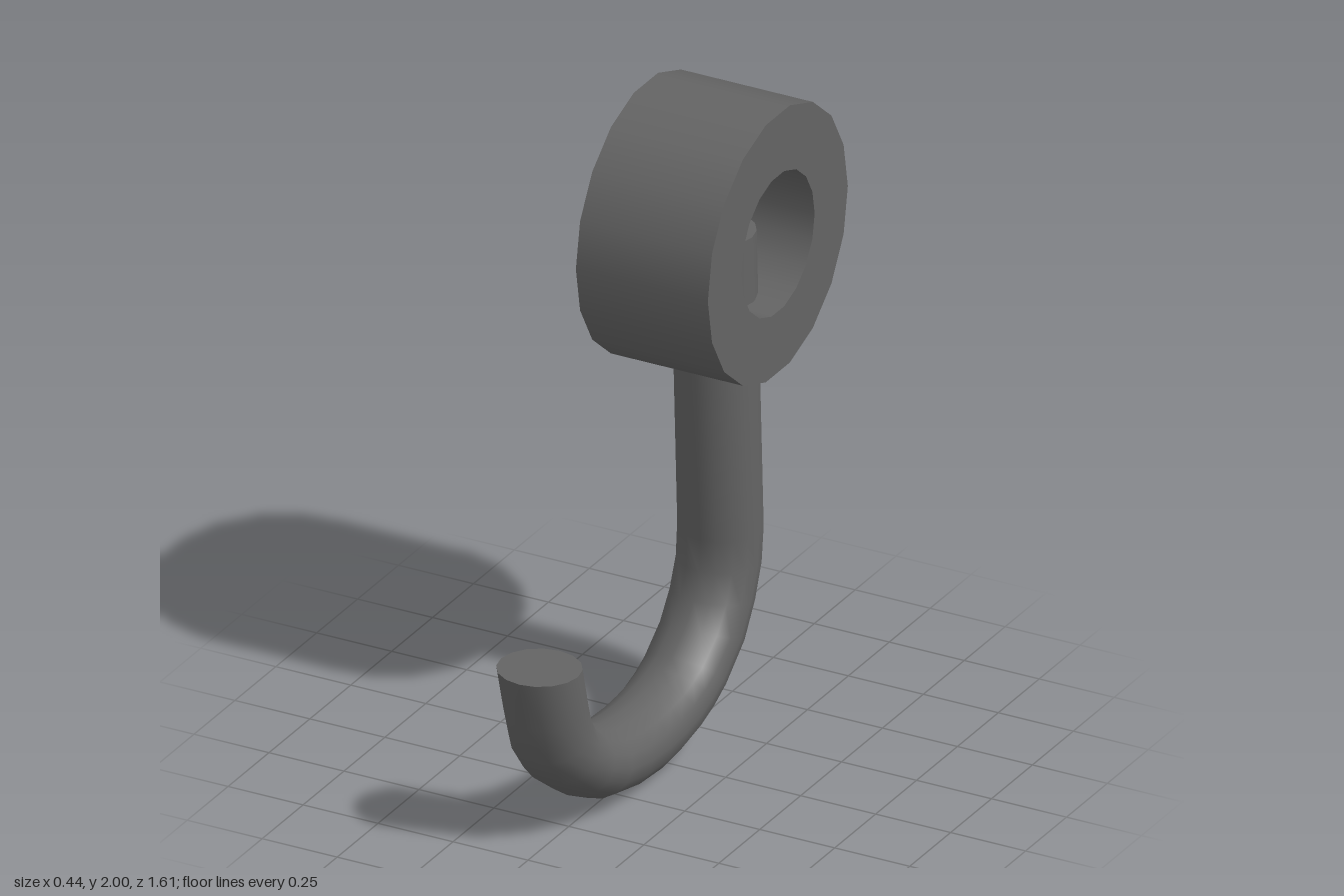
import * as THREE from 'three';

const material = new THREE.MeshStandardMaterial({ color: 0x646464 });
const ring = { y: 1.576, z: -0.374, outer: 0.428, inner: 0.225, half: 0.22, sides: 18 };

// Thick eyelet with smooth walls and flat side faces, its axis along x
function makeEyelet() {
  const { outer: R, inner: r, half: h, sides } = ring;
  const group = new THREE.Group();
  group.name = 'eyelet';
  const add = (name, points) => {
    const geometry = new THREE.LatheGeometry(points.map(p => new THREE.Vector2(...p)), sides);
    geometry.rotateZ(-Math.PI / 2);
    const mesh = new THREE.Mesh(geometry, material);
    mesh.name = name;
    group.add(mesh);
  };
  add('eyeletOuterWall', [[R, -h], [R, h]]);
  add('eyeletInnerWall', [[r, h], [r, -h]]);
  add('eyeletLeftFace', [[R, h], [r, h]]);
  add('eyeletRightFace', [[r, -h], [R, -h]]);
  group.position.set(0, ring.y, ring.z);
  return group;
}

// Outer and inner edge of the bent rod: [outer z, outer y, inner z, inner y]
const sections = [
  [-0.508, 1.57, -0.26, 1.57],
  [-0.551, 0.583, -0.302, 0.583],
  [-0.535, 0.466, -0.297, 0.482],
  [-0.493, 0.35, -0.262, 0.4],
  [-0.424, 0.228, -0.207, 0.334],
  [-0.297, 0.117, -0.127, 0.278],
  [-0.215, 0.07, -0.075, 0.257],
  [-0.127, 0.035, -0.021, 0.244],
  [-0.021, 0.01, 0.053, 0.236],
  [0.095, 0, 0.12, 0.233],
  [0.24, 0.01, 0.195, 0.236],
  [0.39, 0.045, 0.3, 0.251],
  [0.508, 0.106, 0.403, 0.291],
  [0.636, 0.201, 0.471, 0.35],
  [0.715, 0.302, 0.503, 0.407],
  [0.757, 0.429, 0.524, 0.48],
  [0.805, 0.6, 0.555, 0.6],
];
const SIDES = 16;
const HALF_WIDTH = 0.128;

// Points round one elliptical section
function sectionPoints([oz, oy, iz, iy]) {
  return Array.from({ length: SIDES }, (_, i) => {
    const a = (i / SIDES) * Math.PI * 2;
    const t = Math.cos(a) / 2;
    return [HALF_WIDTH * Math.sin(a), (oy + iy) / 2 + t * (oy - iy), (oz + iz) / 2 + t * (oz - iz)];
  });
}

function meshFrom(name, positions, index) {
  const geometry = new THREE.BufferGeometry();
  geometry.setAttribute('position', new THREE.Float32BufferAttribute(positions.flat(), 3));
  geometry.setIndex(index);
  geometry.computeVertexNormals();
  const mesh = new THREE.Mesh(geometry, material);
  mesh.name = name;
  return mesh;
}

// Rod lofted through the sections, with flat level ends
function makeHook() {
  const group = new THREE.Group();
  group.name = 'hook';
  const rings = sections.map(sectionPoints);
  const index = [];
  for (let j = 0; j < rings.length - 1; j++) {
    for (let i = 0; i < SIDES; i++) {
      const k = (i + 1) % SIDES;
      const a = j * SIDES + i, b = j * SIDES + k, c = a + SIDES, d = b + SIDES;
      index.push(a, b, c, b, d, c);
    }
  }
  group.add(meshFrom('hookRod', rings.flat(), index));

  // The outer edge lies at -z on the stem and +z at the tip, so the fans wind oppositely
  const stemFan = [], tipFan = [];
  for (let i = 1; i < SIDES - 1; i++) {
    stemFan.push(0, i + 1, i);
    tipFan.push(0, i, i + 1);
  }
  group.add(meshFrom('stemEnd', rings[0], stemFan));
  group.add(meshFrom('hookTip', rings[rings.length - 1], tipFan));
  return group;
}

export function createModel() {
  const model = new THREE.Group();
  model.name = 'eyeletHook';
  model.add(makeEyelet(), makeHook());
  return model;
}
